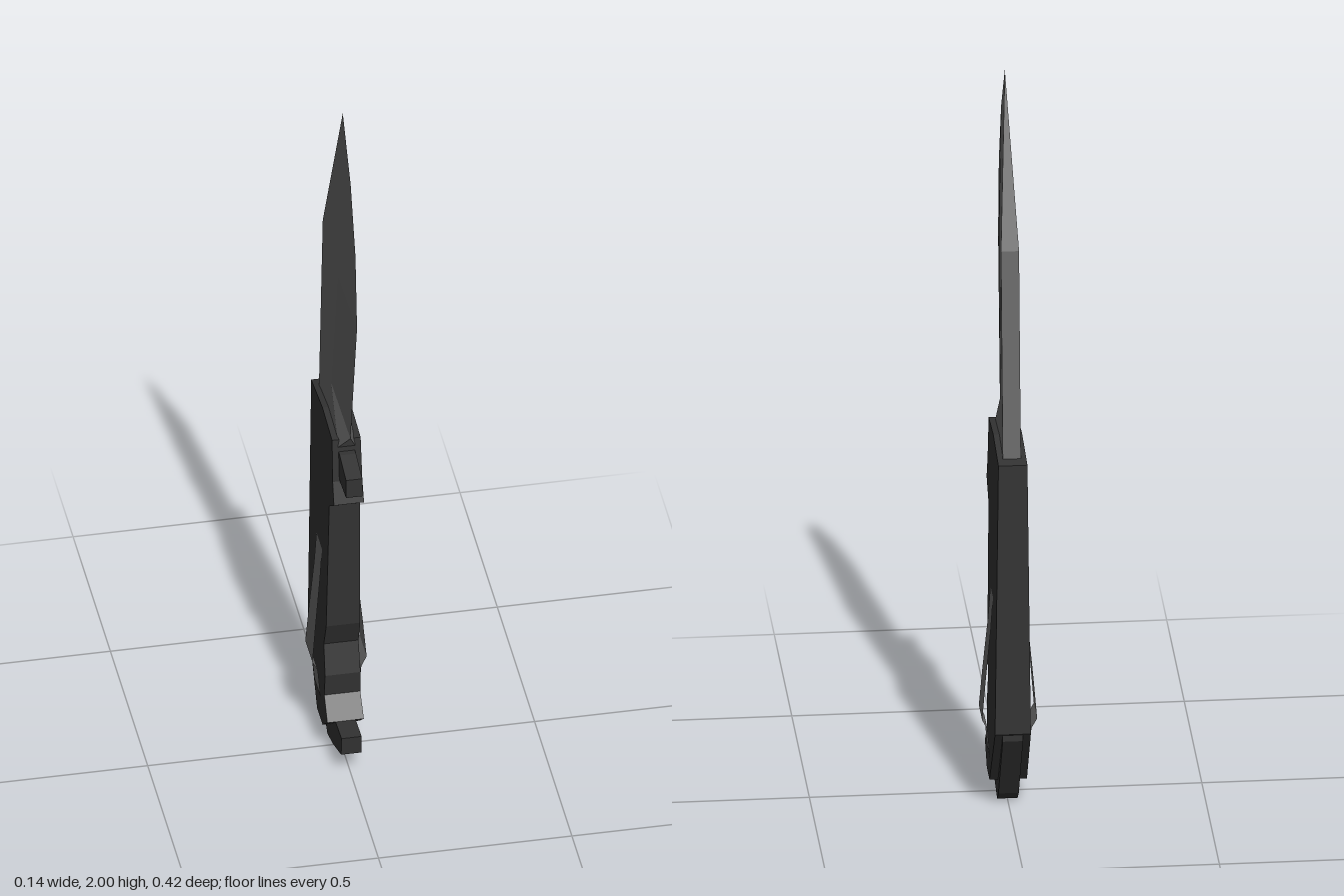
import * as THREE from 'three';

function material(name, color, side = THREE.FrontSide) {
  const m = new THREE.MeshStandardMaterial({ color, flatShading: true, side });
  m.name = name;
  return m;
}

// Profile in (z, y), extruded across x; halfWidth(y) sets the thickness
function slab(name, points, halfWidth, mat) {
  const shape = new THREE.Shape(points.map(([z, y]) => new THREE.Vector2(z, y)));
  const geo = new THREE.ExtrudeGeometry(shape, { depth: 2, bevelEnabled: false });
  geo.translate(0, 0, -1);
  geo.rotateY(-Math.PI / 2);
  const p = geo.attributes.position;
  for (let i = 0; i < p.count; i++) p.setX(i, p.getX(i) * halfWidth(p.getY(i)));
  geo.computeVertexNormals();
  const mesh = new THREE.Mesh(geo, mat);
  mesh.name = name;
  return mesh;
}

function fromTriangles(name, triangles, mat) {
  const geo = new THREE.BufferGeometry();
  geo.setAttribute('position', new THREE.Float32BufferAttribute(triangles.flat(2), 3));
  geo.computeVertexNormals();
  const mesh = new THREE.Mesh(geo, mat);
  mesh.name = name;
  return mesh;
}

const flip = ([x, y, z]) => [-x, y, z];

function makeBlade(mat) {
  // Spine, tip, cutting edge, ricasso and ridge points
  const S0 = [0.023, 0.98, -0.18], S1 = [0.023, 1.56, -0.127], T = [0, 2, 0.022];
  const E3 = [0, 1.85, 0.128], E2 = [0, 1.67, 0.192], E1 = [0, 1.46, 0.213], E0 = [0, 1.05, 0.125];
  const R = [0.022, 0.99, 0.075], M = [0.018, 1.11, -0.04], N = [0.0145, 1.5, 0.03];
  const side = [
    [S0, S1, M], [S1, N, M], [S1, T, N], [T, E3, N], [E3, E2, N], [E2, E1, N],
    [E1, M, N], [E1, E0, M], [E0, R, M], [R, S0, M],
  ];
  const mirrored = side.map(([a, b, c]) => [flip(a), flip(c), flip(b)]);
  const closing = [
    [S0, flip(S0), flip(S1)], [S0, flip(S1), S1], [S1, flip(S1), T], // spine
    [R, E0, flip(R)], // ricasso front
    [S0, R, flip(R)], [S0, flip(R), flip(S0)], // base
  ];
  return fromTriangles('blade', [...side, ...mirrored, ...closing], mat);
}

// Bowed sheet on one side of the handle: rows of [y, x, front z, back z]
function makeClip(name, sign, mat) {
  const rows = [
    [0.59, 0.042, -0.038, -0.113], [0.5, 0.048, -0.035, -0.113], [0.36, 0.061, -0.026, -0.115],
    [0.25, 0.07, -0.021, -0.117], [0.222, 0.056, -0.02, -0.112], [0.137, 0.049, -0.02, -0.105],
  ];
  const tris = [];
  for (let i = 0; i < rows.length - 1; i++) {
    const [y0, x0, f0, b0] = rows[i], [y1, x1, f1, b1] = rows[i + 1];
    const a = [x0, y0, f0], b = [x1, y1, f1], c = [x1, y1, b1], d = [x0, y0, b0];
    tris.push([a, b, c], [a, c, d]);
  }
  const out = sign > 0 ? tris : tris.map(([a, b, c]) => [flip(a), flip(c), flip(b)]);
  return fromTriangles(name, out, mat);
}

export function createModel() {
  const steel = material('blade steel', 0x686868);
  const black = material('handle black', 0x333333);
  const grey = material('inlay grey', 0x6c6c6c, THREE.DoubleSide);
  const group = new THREE.Group();
  group.name = 'knife';

  group.add(makeBlade(steel));

  // Main grip, thickening towards the bottom
  group.add(slab('handle', [
    [-0.21, 1.0], [-0.21, 0.25], [-0.075, 0.065], [0.0, 0.066], [0.06, 0.115],
    [0.015, 0.17], [0.022, 0.235], [0.0, 0.32], [0.028, 0.395], [0.045, 0.785],
    [0.105, 0.83], [0.085, 0.89], [0.07, 1.01], [-0.06, 1.02],
  ], (y) => 0.037 + 0.0115 * (1 - y), black));

  // Narrow core showing below the grip and forming the hooked pommel
  group.add(slab('pommelHook', [
    [-0.208, 0.27], [-0.208, 0.23], [-0.085, 0.03], [-0.05, 0.0], [0.025, 0.021],
    [0.135, 0.066], [0.14, 0.12], [0.06, 0.115], [0.0, 0.12], [-0.1, 0.2],
  ], () => 0.026, black));

  // Thumb stud in front of the guard
  group.add(slab('guardStud', [
    [0.05, 0.9], [0.1, 0.895], [0.175, 0.902], [0.175, 0.957], [0.09, 0.975], [0.05, 0.975],
  ], () => 0.021, black));

  for (const s of [1, -1]) group.add(makeClip(s > 0 ? 'leftInlay' : 'rightInlay', s, grey));
  return group;
}
